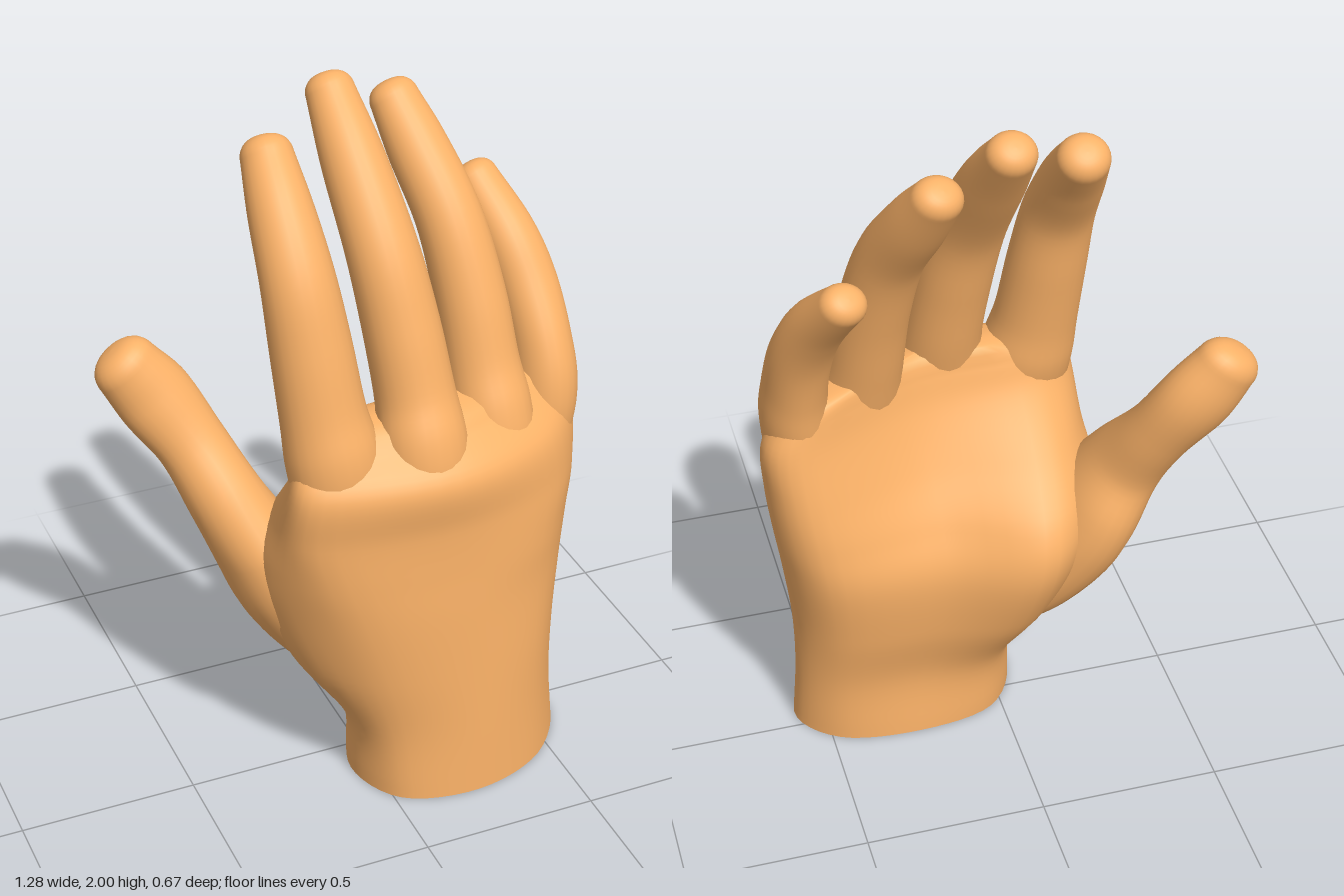
import * as THREE from 'three';

const V = (x, y, z) => new THREE.Vector3(x, y, z);
const skinMaterial = new THREE.MeshStandardMaterial({ color: 0xfbb268 });

// Skin a stack of equal-length closed rings
function skin(name, rings) {
  const n = rings[0].length, index = [];
  for (let i = 0; i < rings.length - 1; i++) {
    for (let j = 0; j < n; j++) {
      const a = i * n + j, b = i * n + (j + 1) % n;
      index.push(a, b, b + n, a, b + n, a + n);
    }
  }
  const geo = new THREE.BufferGeometry().setFromPoints(rings.flat());
  geo.setIndex(index);
  geo.computeVertexNormals();
  const mesh = new THREE.Mesh(geo, skinMaterial);
  mesh.name = name;
  return mesh;
}

// Shrink a ring toward its middle and lift it, for closing an end
function shrink(ring, scale, lift) {
  const c = ring.reduce((s, p) => s.add(p), V(0, 0, 0)).divideScalar(ring.length);
  return ring.map(p => p.clone().sub(c).multiplyScalar(scale).add(c).add(V(0, lift, 0)));
}

// Finger along a curved path; each point is [x, y, z, half width, half depth]
function finger(name, pts) {
  const path = new THREE.CatmullRomCurve3(pts.map(p => V(p[0], p[1], p[2])), false, 'catmullrom');
  const size = new THREE.CatmullRomCurve3(pts.map(p => V(p[3], p[4], 0)), false, 'catmullrom');
  const rings = [], steps = 40, capSteps = 9, sides = 24;
  const addRing = (t, scale, advance) => {
    const tan = path.getTangent(t);
    const u = V(1, 0, 0).addScaledVector(tan, -tan.x).normalize();
    const w = tan.clone().cross(u);
    const s = size.getPoint(t);
    const c = path.getPoint(t).addScaledVector(tan, advance * (s.x + s.y) / 2);
    rings.push(Array.from({ length: sides }, (_, j) => {
      const a = j / sides * Math.PI * 2;
      return c.clone().addScaledVector(u, Math.cos(a) * s.x * scale)
        .addScaledVector(w, Math.sin(a) * s.y * scale);
    }));
  };
  for (let i = 0; i <= steps; i++) addRing(i / steps, 1, 0);
  // rounded, slightly blunt tip
  for (let i = 1; i <= capSteps; i++) {
    const a = i / capSteps * Math.PI / 2;
    addRing(1, Math.pow(Math.max(Math.cos(a), 0), 0.75), 0.8 * Math.sin(a));
  }
  return skin(name, rings);
}

// Palm sections: height, then (x, z) around from the thumb side over the back of the hand
const palmSections = [
  [0, -.06, .1, .02, .28, .24, .33, .46, .25, .585, .06, .48, -.08, .25, -.115, .03, -.07],
  [.2, -.075, .1, 0, .27, .24, .325, .46, .24, .575, .04, .48, -.09, .24, -.11, .02, -.09],
  [.4, -.21, .06, -.06, .27, .22, .32, .46, .24, .578, .03, .48, -.13, .2, -.16, -.05, -.19],
  [.6, -.29, .02, -.13, .265, .2, .315, .47, .23, .6, .02, .5, -.16, .18, -.18, -.1, -.255],
  [.74, -.3, .03, -.18, .26, .19, .31, .48, .23, .62, .01, .52, -.155, .18, -.13, -.12, -.225],
  [.88, -.27, .08, -.215, .255, .18, .31, .5, .215, .635, .01, .54, -.135, .19, -.055, -.13, -.1],
  [1.03, -.255, .15, -.2, .265, .16, .32, .48, .2, .638, 0, .55, -.105, .2, .01, -.12, .02],
  [1.13, -.22, .14, -.15, .2, .16, .23, .44, .12, .585, 0, .52, -.08, .2, .04, -.1, .06],
];

function palmRings() {
  // one rail per section corner, running up the hand
  const rails = Array.from({ length: 8 }, (_, k) => new THREE.CatmullRomCurve3(
    palmSections.map(s => V(s[1 + 2 * k], s[0], s[2 + 2 * k])), false, 'catmullrom'));
  const rings = [];
  for (let i = 0; i <= 48; i++) {
    const outline = new THREE.CatmullRomCurve3(rails.map(r => r.getPoint(i / 48)), true, 'catmullrom');
    rings.push(outline.getPoints(48).slice(0, 48));
  }
  return rings;
}

export function createModel() {
  const hand = new THREE.Group();
  hand.name = 'hand';

  // Palm, closed by a soft dome between the fingers
  const rings = palmRings();
  const top = rings[rings.length - 1];
  hand.add(skin('palm', [...rings, shrink(top, 0.88, 0.025), shrink(top, 0.65, 0.045), shrink(top, 0, 0.055)]));

  // Flat cut at the wrist
  hand.add(skin('wristCut', [shrink(rings[0], 0, 0), rings[0].map(p => p.clone())]));

  // Fingers flare into the knuckles
  hand.add(finger('indexFinger', [
    [-.09, .8, .18, .07, .06], [-.115, .98, .165, .12, .1], [-.132, 1.1, .15, .127, .115],
    [-.15, 1.22, .13, .115, .105], [-.168, 1.4, .098, .108, .1], [-.185, 1.58, .055, .098, .09],
    [-.192, 1.73, -.035, .086, .082], [-.19, 1.84, -.128, .07, .066]]));

  hand.add(finger('middleFinger', [
    [.14, .8, .2, .07, .06], [.12, .98, .195, .115, .105], [.112, 1.1, .175, .122, .115],
    [.108, 1.22, .135, .108, .105], [.088, 1.4, .09, .103, .1], [.06, 1.6, .025, .096, .092],
    [.035, 1.8, -.105, .085, .082], [.022, 1.942, -.222, .066, .06]]));

  hand.add(finger('ringFinger', [
    [.34, .8, .14, .07, .06], [.35, .98, .125, .11, .1], [.348, 1.1, .095, .113, .11],
    [.338, 1.22, .055, .103, .1], [.323, 1.4, .005, .097, .095], [.293, 1.6, -.07, .09, .087],
    [.25, 1.76, -.178, .083, .078], [.218, 1.872, -.26, .068, .06]]));

  hand.add(finger('littleFinger', [
    [.48, .75, .04, .07, .06], [.525, .97, .03, .09, .1], [.541, 1.1, .02, .092, .11],
    [.54, 1.22, -.01, .086, .1], [.528, 1.36, -.07, .084, .08], [.5, 1.48, -.14, .078, .072],
    [.455, 1.603, -.248, .063, .056]]));

  // Thumb, swelling into the mound at its root
  hand.add(finger('thumb', [
    [-.02, .3, .02, .06, .08], [-.11, .44, -.01, .11, .14], [-.2, .59, -.045, .13, .17],
    [-.265, .72, -.08, .12, .165], [-.335, .86, -.115, .105, .115], [-.398, 1, -.19, .097, .088],
    [-.475, 1.13, -.243, .107, .086], [-.548, 1.235, -.262, .092, .074]]));

  return hand;
}
